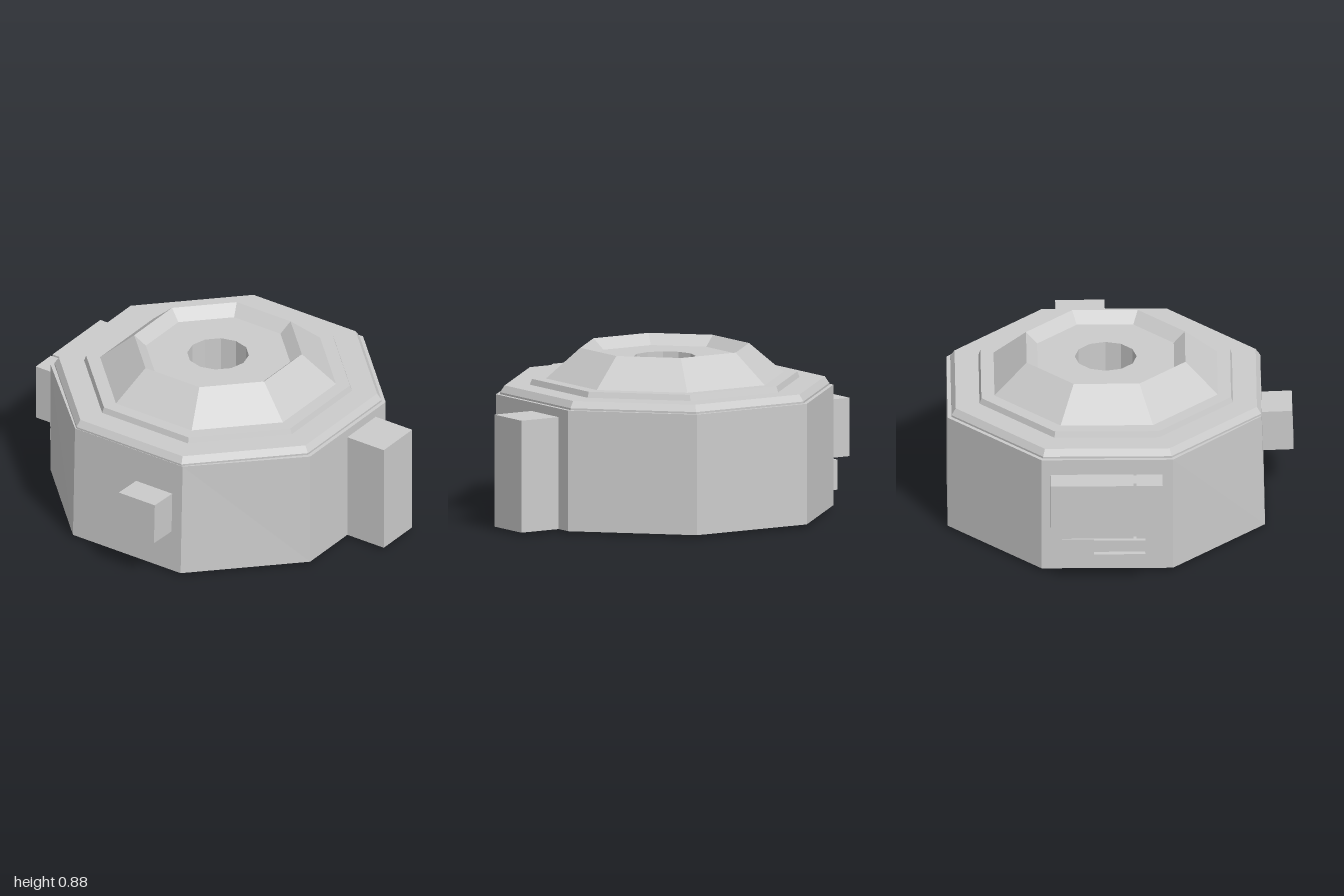
import * as THREE from 'three';

const CX = 0.075, CZ = -0.05, HOLE = 0.16, FLOOR = 0.82;
const material = new THREE.MeshStandardMaterial({ color: 0xcccccc, flatShading: true });
const twoSided = new THREE.MeshStandardMaterial({ color: 0xcccccc, flatShading: true, side: THREE.DoubleSide });

export function createModel() {
  const model = new THREE.Group();

  const add = (name, geometry, mat = material) => {
    const mesh = new THREE.Mesh(geometry, mat);
    mesh.name = name;
    model.add(mesh);
    return mesh;
  };

  // Octagonal shell from [apothem, height] pairs, flats facing the axes
  const octagon = (name, profile) => {
    const points = profile.map(([a, y]) => new THREE.Vector2(a / Math.cos(Math.PI / 8), y));
    return add(name, new THREE.LatheGeometry(points, 8).rotateY(Math.PI / 8).translate(CX, 0, CZ));
  };

  // Flat octagon with a round hole in the middle
  const plate = (name, apothem, y, up) => {
    const shape = new THREE.Shape();
    const r = apothem / Math.cos(Math.PI / 8);
    for (let i = 0; i < 8; i++) {
      const a = Math.PI / 8 + i * Math.PI / 4;
      shape[i ? 'lineTo' : 'moveTo'](r * Math.cos(a), r * Math.sin(a));
    }
    shape.closePath();
    const hole = new THREE.Path();
    for (let i = 0; i < 12; i++) {
      const a = -i * Math.PI / 6;
      hole[i ? 'lineTo' : 'moveTo'](HOLE * Math.cos(a), HOLE * Math.sin(a));
    }
    hole.closePath();
    shape.holes.push(hole);
    const geometry = new THREE.ShapeGeometry(shape);
    geometry.rotateX(up ? -Math.PI / 2 : Math.PI / 2).translate(CX, y, CZ);
    return add(name, geometry);
  };

  // Box from its lower and upper corners
  const box = (name, [x0, y0, z0], [x1, y1, z1]) => {
    const mesh = add(name, new THREE.BoxGeometry(x1 - x0, y1 - y0, z1 - z0));
    mesh.position.set((x0 + x1) / 2, (y0 + y1) / 2, (z0 + z1) / 2);
    return mesh;
  };

  // Main drum; its -x wall leans slightly inwards
  const drum = octagon('drum', [[0.82, 0.015], [0.82, 0.645], [0.79, 0.645]]);
  const p = drum.geometry.attributes.position;
  for (let i = 0; i < p.count; i++) {
    if (p.getX(i) < -0.74 && p.getY(i) > 0.6) p.setX(i, -0.727);
  }
  plate('drumBottom', 0.82, 0.015, false);

  // Stepped roof and sloped crown with a sunken top
  octagon('lowerStep', [[0.8, 0.645], [0.8, 0.655], [0.778, 0.69], [0.64, 0.69]]);
  octagon('upperStep', [[0.655, 0.69], [0.645, 0.72], [0.57, 0.72]]);
  octagon('crown', [[0.577, 0.72], [0.41, 0.875], [0.353, FLOOR]]);
  plate('crownFloor', 0.353, FLOOR, true);

  // Central shaft through the whole body
  const shaft = new THREE.CylinderGeometry(HOLE, HOLE, FLOOR, 12, 1, true);
  shaft.rotateY(Math.PI / 2).translate(CX, FLOOR / 2, CZ);
  add('shaft', shaft, twoSided);

  // Front pillar
  box('frontPillar', [0.07, 0.015, 0.7], [0.325, 0.6, 1]);

  // Tilted box on the -x wall
  const sideBox = box('sideBox', [-0.893, 0.243, 0], [-0.65, 0.466, 0.228]);
  sideBox.rotation.z = -0.035;

  // Cabinet on the back, with a narrow recessed joint
  box('cabinetWide', [-0.06, 0.255, -1], [0.37, 0.56, -0.8]);
  box('cabinetNarrow', [-0.21, 0.255, -1], [-0.075, 0.56, -0.8]);
  box('cabinetJoint', [-0.08, 0.246, -0.96], [-0.055, 0.555, -0.8]);

  // Small box and two bars below the cabinet
  box('lowerBox', [0.145, 0.075, -0.965], [0.31, 0.232, -0.8]);
  for (const y of [0.085, 0.165]) {
    box('lowerBar', [-0.12, y, -0.975], [0.145, y + 0.065, -0.8]);
  }

  return model;
}
